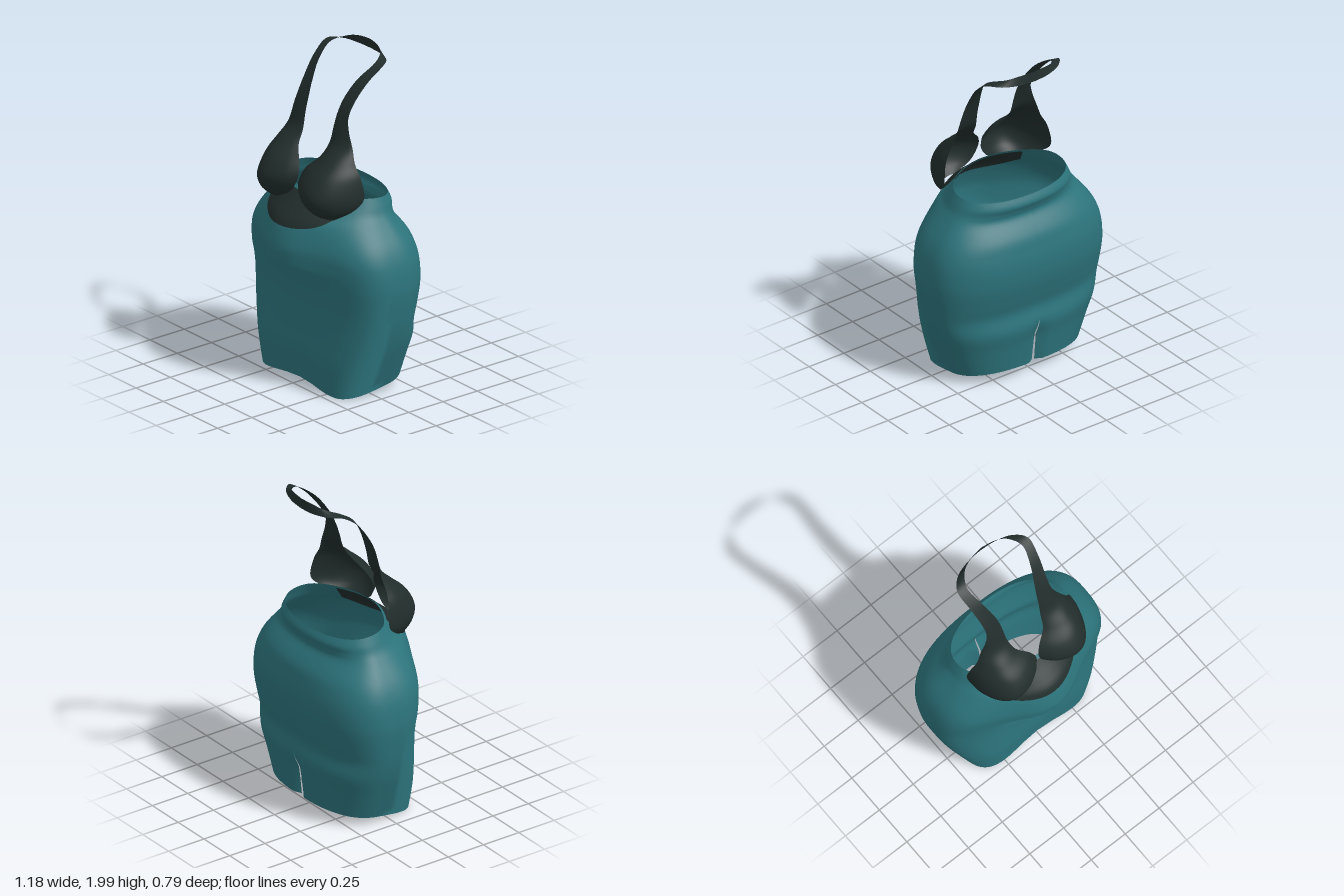
import * as THREE from 'three';

// Smooth (Catmull-Rom) sample through rows of numbers, t in 0..1
function sample(rows, t) {
  const f = Math.min(Math.max(t, 0), 1) * (rows.length - 1);
  const i = Math.min(Math.floor(f), rows.length - 2), k = f - i;
  const at = (j) => rows[Math.min(Math.max(j, 0), rows.length - 1)];
  return rows[0].map((_, c) => {
    const a = at(i - 1)[c], b = at(i)[c], d = at(i + 1)[c], e = at(i + 2)[c];
    return b + 0.5 * k * (d - a + k * (2 * a - 5 * b + 4 * d - e + k * (3 * (b - d) + e - a)));
  });
}

// Smooth sheet from fn(u, v) -> [x, y, z]
function sheet(nu, nv, fn) {
  const pos = [], idx = [];
  for (let j = 0; j <= nv; j++)
    for (let i = 0; i <= nu; i++) {
      pos.push(...fn(i / nu, j / nv));
      if (i < nu && j < nv) {
        const a = j * (nu + 1) + i, b = a + nu + 1;
        idx.push(a, a + 1, b + 1, a, b + 1, b);
      }
    }
  const g = new THREE.BufferGeometry();
  g.setAttribute('position', new THREE.Float32BufferAttribute(pos, 3));
  g.setIndex(idx);
  g.computeVertexNormals();
  return g;
}

// Skirt rings: height, half width, back z, front z, centre front z, front and back squareness
const RINGS = [
  [0.035, 0.43, -0.33, 0.24, 0.2, 4, 2.5], [0.2, 0.49, -0.348, 0.24, 0.215, 3.6, 2.5],
  [0.33, 0.535, -0.367, 0.222, 0.205, 3.4, 2.5], [0.45, 0.565, -0.347, 0.205, 0.2, 3.3, 2.5],
  [0.55, 0.58, -0.367, 0.2, 0.2, 3.2, 2.5], [0.63, 0.588, -0.385, 0.205, 0.22, 3.2, 2.5],
  [0.7, 0.59, -0.394, 0.222, 0.275, 3.2, 2.5], [0.79, 0.581, -0.394, 0.24, 0.375, 3.1, 2.5],
  [0.87, 0.56, -0.38, 0.25, 0.395, 3, 2.5], [0.95, 0.52, -0.355, 0.245, 0.378, 2.8, 2.4],
  [1.05, 0.445, -0.287, 0.225, 0.335, 2.5, 2.3], [1.1, 0.41, -0.287, 0.19, 0.285, 2.3, 2.2],
  [1.15, 0.388, -0.3, 0.15, 0.225, 2.2, 2.2], [1.2, 0.365, -0.28, 0.12, 0.17, 2.2, 2.2],
];
const MID_Z = -0.08, SLIT_TOP = 0.36;

// Point on the body; u runs once round from the middle of the back
function bodyPoint(u, t, offset = 0) {
  let [y, w, back, front, centre, frontN, backN] = sample(RINGS, t);
  const a = u * Math.PI * 2, s = -Math.sin(a), c = -Math.cos(a);
  const n = c < 0 ? backN : frontN;
  let x = (w + offset) * Math.sign(s) * Math.abs(s) ** (2 / n);
  const depth = c < 0 ? MID_Z - back : front - MID_Z;
  let z = MID_Z + (depth + offset) * Math.sign(c) * Math.abs(c) ** (2 / n);
  if (c > 0) z += (centre - front) * Math.exp(-((x / 0.25) ** 2)) * Math.min(1, c * 2);
  // back slit with its edges folded in
  const open = Math.max(0, 1 - y / SLIT_TOP);
  if (c < 0) {
    z += 0.03 * Math.min(1, open * 3) * Math.exp(-((x / 0.03) ** 2));
    const gap = 0.009 * Math.sqrt(open);
    if (Math.abs(x) < gap) x = u < 0.5 ? -gap : gap;
  }
  // hem rises to the back and arches at the front, neckline dips at the back
  const low = Math.max(0, 1 - y / 0.5);
  y -= 0.16 * z * low;
  if (c > 0) y += 0.03 * low * c * Math.max(0, 1 - (x / 0.35) ** 2);
  if (y > 1) y += 0.1 * Math.min(0, z) * (y - 1) / 0.2;
  return [x, y, z];
}

function ringAt(y) {
  let lo = 0, hi = 1;
  for (let i = 0; i < 24; i++) {
    const m = (lo + hi) / 2;
    if (sample(RINGS, m)[0] < y) lo = m; else hi = m;
  }
  return lo;
}

// Halter rows: inner edge xyz, outer edge xyz, bulge
const HALTER = [
  [0.16, 1.115, 0.24, 0.3, 1.1, 0.195, 0.02],
  [0.06, 1.17, 0.225, 0.36, 1.15, 0.1, 0.13],
  [0.01, 1.26, 0.21, 0.383, 1.22, 0.035, 0.19],
  [0.03, 1.34, 0.18, 0.365, 1.34, 0.045, 0.15],
  [0.1, 1.42, 0.13, 0.325, 1.42, 0.055, 0.085],
  [0.122, 1.5, 0.08, 0.29, 1.5, 0.045, 0.035],
  [0.13, 1.6, 0.055, 0.255, 1.6, 0.045, 0.01],
  [0.135, 1.68, 0.03, 0.235, 1.68, 0.03, 0],
  [0.15, 1.77, -0.01, 0.238, 1.77, -0.02, 0],
  [0.18, 1.87, -0.08, 0.254, 1.87, -0.1, 0],
  [0.205, 1.945, -0.18, 0.262, 1.945, -0.2, 0],
  [0.16, 1.977, -0.26, 0.2, 1.948, -0.272, 0],
  [0.09, 1.995, -0.295, 0.1, 1.942, -0.307, 0],
  [0, 2, -0.31, 0, 1.94, -0.316, 0],
];

function halterPoint(side, u, v) {
  const r = sample(HALTER, v);
  const k = side > 0 ? u : 1 - u;
  const b = r[6] * Math.sin(Math.PI * k) ** 0.7;
  const mix = (i) => r[i] + (r[i + 3] - r[i]) * k;
  return [side * (mix(0) + 0.32 * b), mix(1), mix(2) + 0.95 * b];
}

export function createModel() {
  const group = new THREE.Group();
  const teal = new THREE.MeshStandardMaterial({ color: 0x2c737b, side: THREE.DoubleSide });
  teal.name = 'teal cloth';
  const dark = new THREE.MeshStandardMaterial({ color: 0x212d2c, side: THREE.DoubleSide });
  dark.name = 'dark cloth';
  const add = (name, geometry, material) => {
    const mesh = new THREE.Mesh(geometry, material);
    mesh.name = name;
    group.add(mesh);
  };

  // Skirt body: back seam smoothed above the slit, soft shading under the belly
  const NU = 96, NV = 72;
  const body = sheet(NU, NV, (u, v) => bodyPoint(u, v));
  const normal = body.attributes.normal, p = body.attributes.position;
  const dir = new THREE.Vector3();
  for (let k = 0; k < p.count; k++) {
    dir.fromBufferAttribute(normal, k);
    const i = k % (NU + 1);
    if ((i === 0 || i === NU) && p.getY(k) > SLIT_TOP + 0.02) dir.x = 0;
    if (p.getZ(k) > 0 && dir.y < 0) dir.y *= 0.2;
    dir.normalize();
    normal.setXYZ(k, dir.x, dir.y, dir.z);
  }
  add('skirtBody', body, teal);

  // Dark panel below the cups, outside and lining
  for (const [name, offset] of [['frontPanel', 0.006], ['frontPanelLining', -0.006]])
    add(name, sheet(32, 10, (u, v) => {
      const s = u * 2 - 1;
      const low = 1.02 + 0.07 * s * s;
      const y = low + (1.185 - low) * v;
      return bodyPoint(0.5 + s * 0.105, ringAt(y), offset);
    }), dark);

  // Cups running up into straps that meet behind the neck
  for (const side of [1, -1])
    add(side > 0 ? 'leftCupAndStrap' : 'rightCupAndStrap',
      sheet(20, 78, (u, v) => halterPoint(side, u, v)), dark);

  return group;
}
